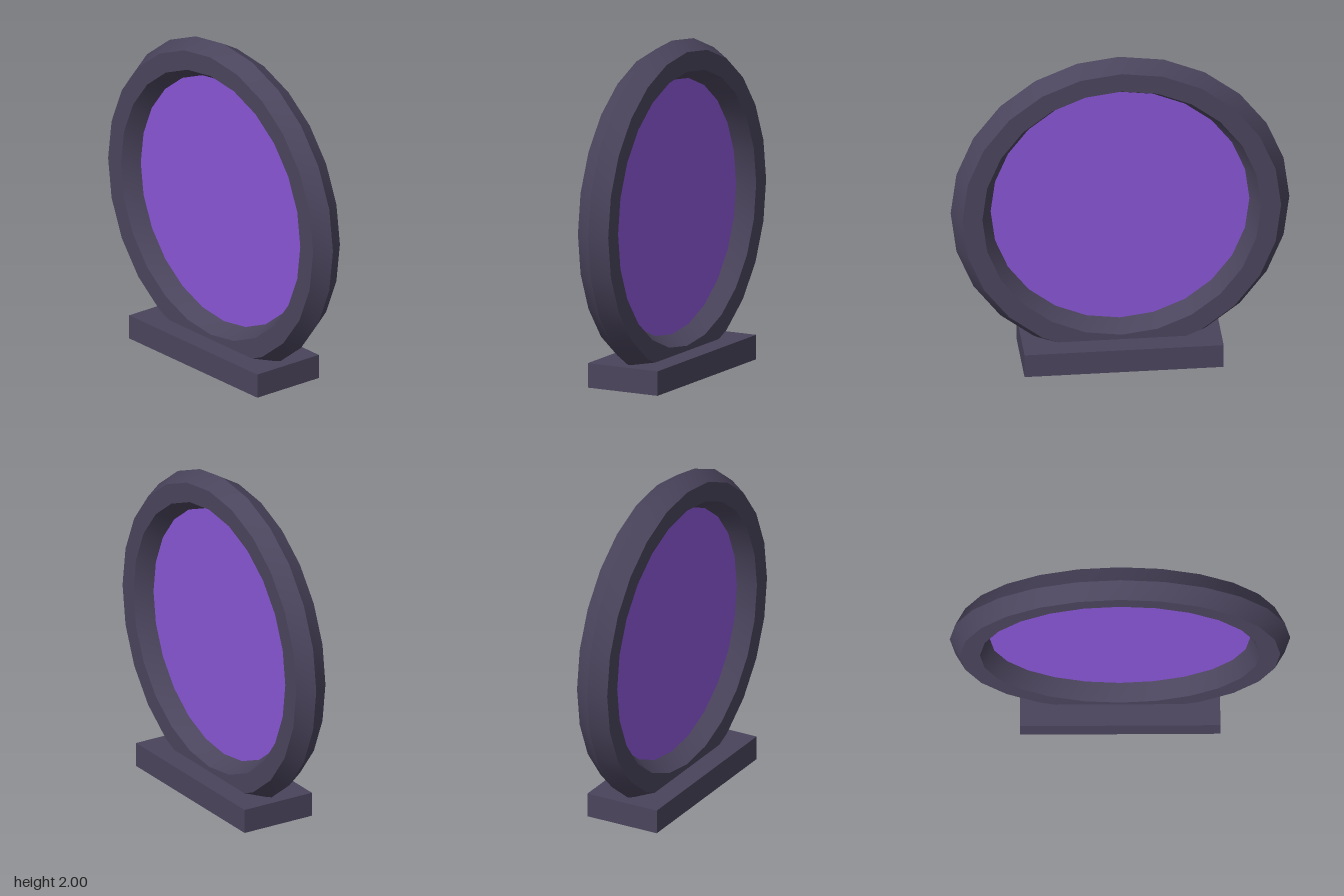
import * as THREE from 'three';
import { toCreasedNormals } from 'three/addons/utils/BufferGeometryUtils.js';

export function createModel() {
  const model = new THREE.Group();
  model.name = 'portal';

  const stone = new THREE.MeshStandardMaterial({ color: 0x4a445c });
  stone.name = 'dark stone';
  const glow = new THREE.MeshStandardMaterial({ color: 0x8855d4, side: THREE.DoubleSide });
  glow.name = 'purple surface';

  const add = (name, geometry, material, y) => {
    const mesh = new THREE.Mesh(geometry, material);
    mesh.name = name;
    mesh.position.y = y;
    model.add(mesh);
  };

  const ringRadius = 0.882, tubeRadius = 0.118, segments = 24;

  // Upright ring with a hexagonal section, smooth around but sharp across
  const ring = new THREE.TorusGeometry(ringRadius, tubeRadius, 6, segments);
  add('ringFrame', toCreasedNormals(ring, Math.PI / 6), stone, 1);

  // Flat surface filling the ring, seen from both sides
  add('portalSurface', new THREE.CircleGeometry(ringRadius - tubeRadius, segments), glow, 1);

  // Block that the ring stands in
  const baseHeight = 0.147;
  add('base', new THREE.BoxGeometry(1.176, baseHeight, 0.47), stone, baseHeight / 2);

  return model;
}
